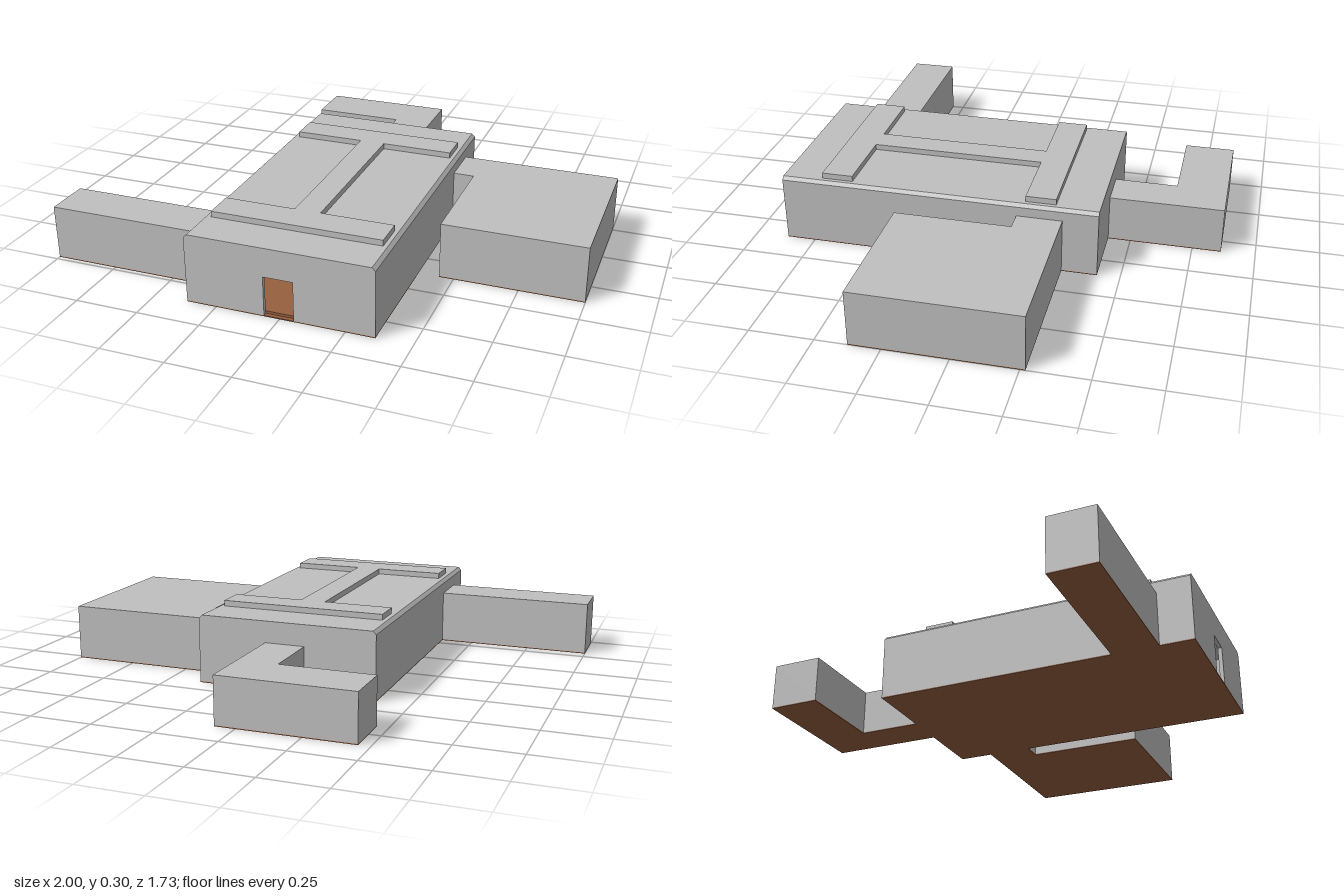
import * as THREE from 'three';

export function createModel() {
  const model = new THREE.Group();
  const stone = new THREE.MeshStandardMaterial({ color: 0xc0c0c0 });
  stone.name = 'grey stone';
  const wood = new THREE.MeshStandardMaterial({ color: 0x98603f });
  wood.name = 'brown floor';

  const add = (geometry, material, name) => {
    const mesh = new THREE.Mesh(geometry, material);
    mesh.name = name;
    model.add(mesh);
  };
  const polygon = (pts) => new THREE.Shape(pts.map(([x, y]) => new THREE.Vector2(x, y)));

  // Upright slab on an [x, z] footprint between two heights
  const slab = (footprint, y0, y1, material, name) => {
    const shape = polygon(footprint.map(([x, z]) => [x, -z]));
    const geometry = new THREE.ExtrudeGeometry(shape, { depth: y1 - y0, bevelEnabled: false });
    geometry.rotateX(-Math.PI / 2).translate(0, y0, 0);
    add(geometry, material, name);
  };
  // Cross-section in x and y, run along z
  const run = (shape, z0, z1, name) => {
    const geometry = new THREE.ExtrudeGeometry(shape, { depth: z1 - z0, bevelEnabled: false });
    add(geometry.translate(0, 0, z0), stone, name);
  };
  const rect = (x0, x1, z0, z1) => [[x0, z0], [x1, z0], [x1, z1], [x0, z1]];

  const base = 0.004;
  const left = -0.367, right = 0.362, back = -0.41, front = 0.865;
  const roof = 0.275, wall = 0.016, chamfer = 0.013;

  // Hollow main hall: side walls and roof, back wall, front wall with a doorway
  const top = [[right, roof - chamfer], [right - chamfer, roof], [left + chamfer, roof], [left, roof - chamfer], [left, base]];
  run(polygon([
    [right, base], ...top, [left + wall, base], [left + wall, roof - 0.02],
    [right - wall, roof - 0.02], [right - wall, base],
  ]), back + wall, front - wall, 'hallShell');
  run(polygon([[right, base], ...top]), back, back + wall, 'backWall');
  run(polygon([
    [right, base], ...top, [-0.06, base], [-0.06, 0.16], [0.055, 0.16], [0.055, base],
  ]), front - wall, front, 'frontWall');

  // Floor seen through the doorway
  slab(rect(left + wall, right - wall, back + wall, front - wall), base, 0.014, wood, 'hallFloor');

  // Raised roof panel: two crossbars joined by a stem
  slab([
    [-0.335, -0.24], [0.333, -0.24], [0.333, -0.12], [0.047, -0.12], [0.047, 0.58], [0.333, 0.58],
    [0.333, 0.705], [-0.335, 0.705], [-0.335, 0.58], [-0.055, 0.58], [-0.055, -0.12], [-0.335, -0.12],
  ], roof - 0.005, 0.298, stone, 'roofPanel');

  // Side and rear wings: footprint and height
  const wings = [
    ['rightWing', 0.217, rect(-1, left, 0.55, 0.733)],
    ['leftWing', 0.224, [[right, -0.27], [1, -0.27], [1, 0.374], [0.444, 0.374], [0.444, -0.09], [right, -0.09]]],
    ['rearWing', 0.189, [[-0.08, back], [-0.08, -0.662], [-0.455, -0.662], [-0.455, -0.865], [0.081, -0.865], [0.081, back]]],
  ];
  for (const [name, height, footprint] of wings) {
    slab(footprint, base, height, stone, name);
    slab(footprint, 0, base, wood, name + 'Floor');
  }
  slab(rect(left, right, back, front), 0, base, wood, 'hallUnderside');

  return model;
}
